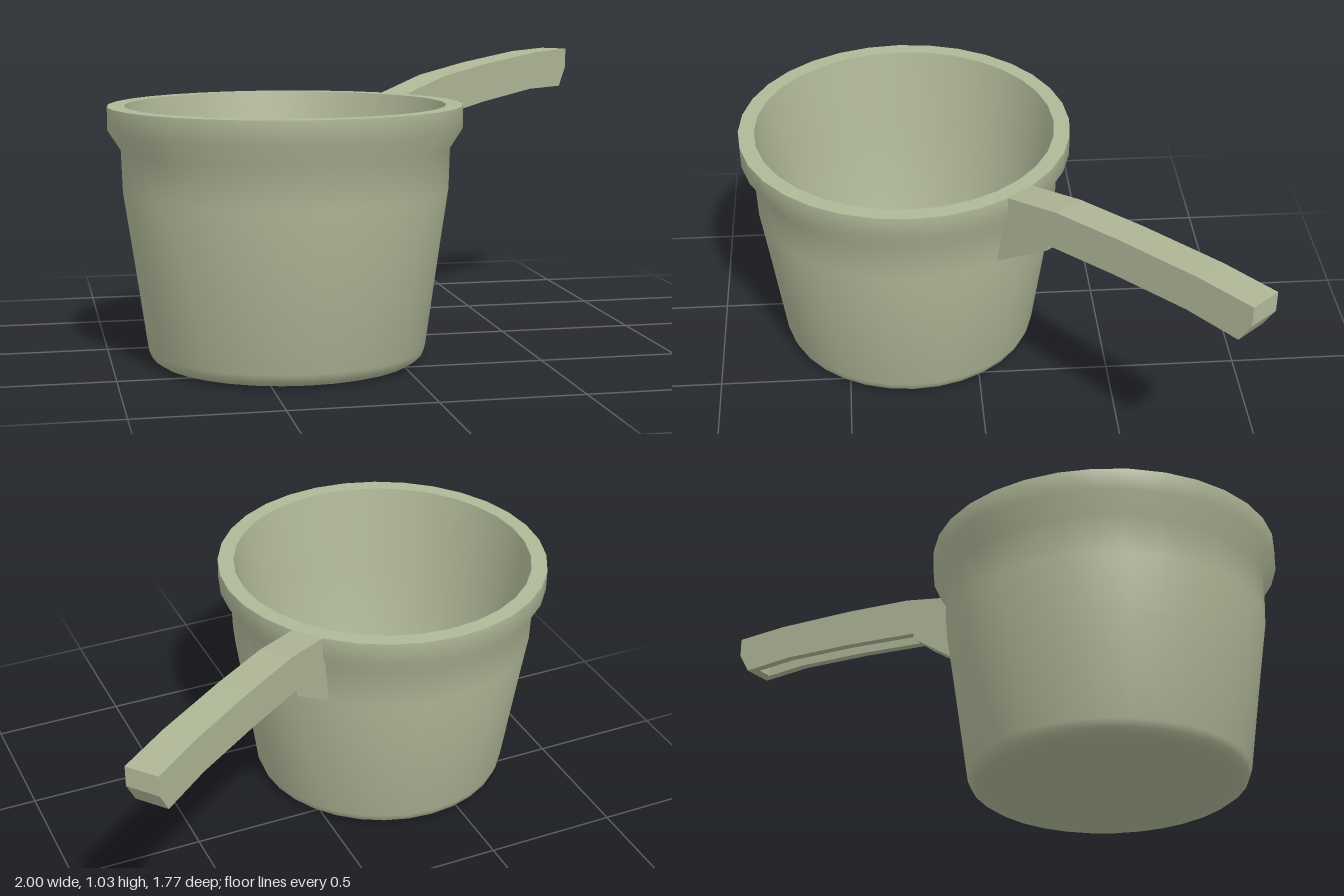
import * as THREE from 'three';
import { toCreasedNormals } from 'three/addons/utils/BufferGeometryUtils.js';

const vectors = (pairs) => pairs.map(([x, y]) => new THREE.Vector2(x, y));

export function createModel() {
  const model = new THREE.Group();
  model.name = 'saucepan';
  const material = new THREE.MeshStandardMaterial({ color: 0xb0b898 });

  // Everything is laid out around the pot's axis
  const pan = new THREE.Group();
  pan.name = 'pan';
  pan.position.set(-0.375, 0, 0.255);
  model.add(pan);

  // Pot: outer wall from the base up, over the flat rim, then down the inside
  const profile = vectors([
    [0, 0], [0.43, 0], [0.462, 0.006], [0.484, 0.022], [0.495, 0.05],
    [0.547, 0.42], [0.575, 0.61], [0.58, 0.76], [0.625, 0.83], [0.625, 0.91],
    [0.565, 0.91], [0.52, 0.6], [0.452, 0.11], [0.44, 0.075], [0.41, 0.055], [0, 0.055],
  ]);
  const pot = new THREE.Mesh(
    toCreasedNormals(new THREE.LatheGeometry(profile, 32), 0.8), material);
  pot.name = 'pot';
  pan.add(pot);

  // Handle: side outlines extruded across its width, swung to the back left
  const handle = new THREE.Group();
  handle.name = 'handle';
  handle.rotation.y = Math.atan2(0.634, 0.773);
  pan.add(handle);

  const top = [[1.727, 0.96], [1.727, 1.035], [1.5, 1.03], [1.15, 1.0], [0.86, 0.965], [0.62, 0.91], [0.6, 0.905]];
  const brace = [[0.6, 0.78], [0.57, 0.61], [0.82, 0.785], [0.825, 0.81]];
  const underside = [[1.14, 0.85], [1.46, 0.88], [1.68, 0.88]];
  // Raised underside of the middle strip, leaving a channel between the rails
  const channel = [[0.83, 0.9], [1.14, 0.93], [1.46, 0.96], [1.64, 0.96], [1.64, 0.88], [1.68, 0.88]];

  const addStrip = (name, outline, z, width) => {
    const geometry = new THREE.ExtrudeGeometry(new THREE.Shape(vectors(outline)),
      { depth: width, bevelEnabled: false });
    const strip = new THREE.Mesh(geometry, material);
    strip.name = name;
    strip.position.z = z;
    handle.add(strip);
  };
  const rail = [...top, ...brace, ...underside];
  addStrip('handleRailLeft', rail, -0.06, 0.03);
  addStrip('handleRailRight', rail, 0.03, 0.03);
  addStrip('handleCore', [...top, ...brace, ...channel], -0.03, 0.06);

  return model;
}
